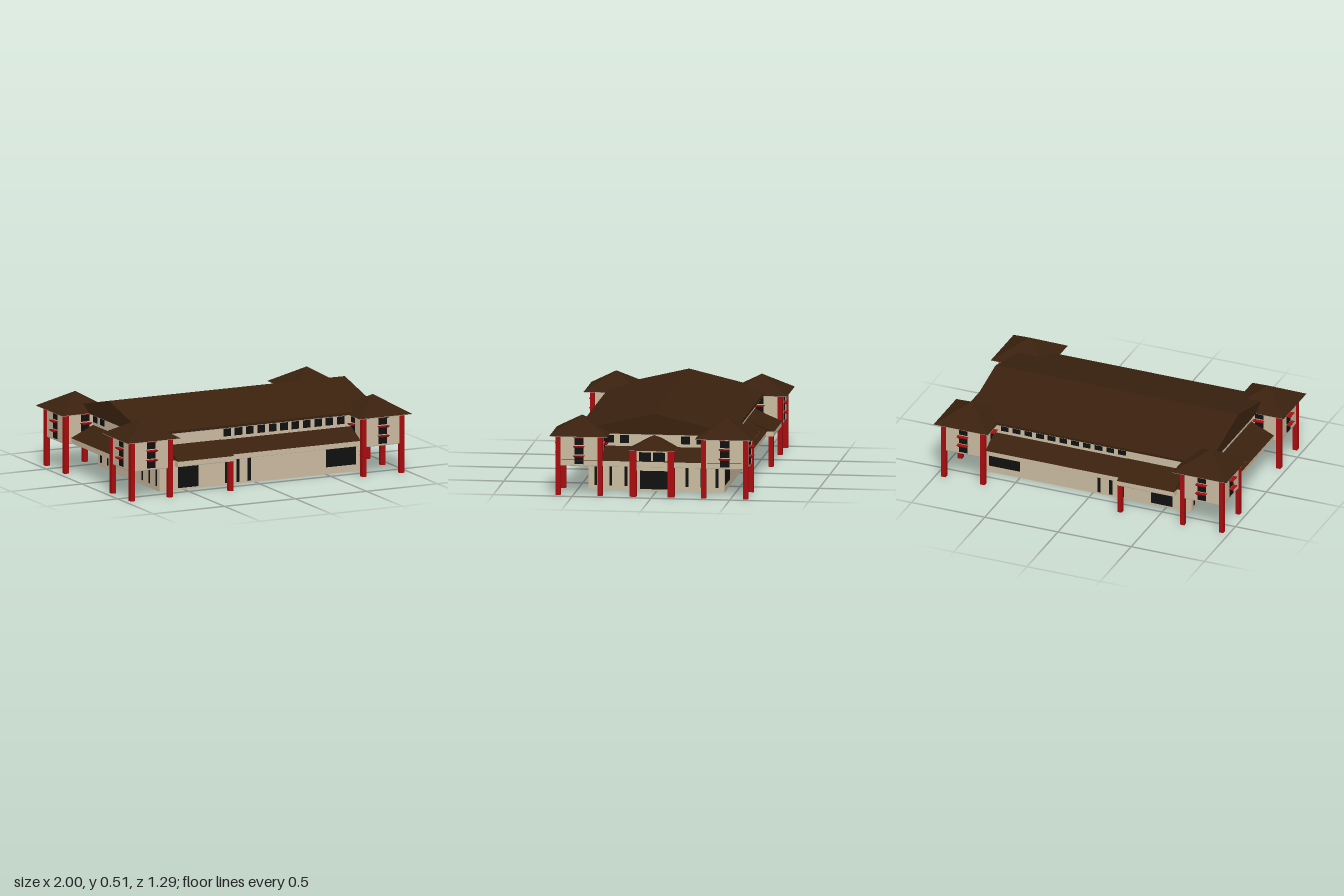
import * as THREE from 'three';

const mat = (color) => new THREE.MeshStandardMaterial({ color });

export function createModel() {
  const model = new THREE.Group();
  const beige = mat(0xcbbba0), red = mat(0xa80c0e), black = mat(0x101010);
  const brown = mat(0x3a210e), soffitGrey = mat(0xa5a196);

  const add = (name, geometry, material, parent = model) => {
    const m = new THREE.Mesh(geometry, material);
    m.name = name;
    parent.add(m);
    return m;
  };

  // Box given by its limits on each axis
  const box = (name, material, x0, x1, y0, y1, z0, z1, parent) => {
    const g = new THREE.BoxGeometry(x1 - x0, y1 - y0, z1 - z0);
    g.translate((x0 + x1) / 2, (y0 + y1) / 2, (z0 + z1) / 2);
    return add(name, g, material, parent);
  };

  // Tapered block between two rectangles [x0, x1, z0, z1]
  const taper = (name, material, low, high, y0, y1, parent) => {
    const g = new THREE.BoxGeometry(1, 1, 1);
    const p = g.attributes.position;
    for (let i = 0; i < p.count; i++) {
      const top = p.getY(i) > 0, r = top ? high : low;
      p.setXYZ(i, p.getX(i) < 0 ? r[0] : r[1], top ? y1 : y0, p.getZ(i) < 0 ? r[2] : r[3]);
    }
    g.computeVertexNormals();
    return add(name, g, material, parent);
  };

  // Thin panels on a wall facing along z or x
  const T = 0.003;
  const panelZ = (name, x, w, y0, y1, z) => box(name, black, x - w / 2, x + w / 2, y0, y1, z - T, z + T);
  const panelX = (name, z, w, y0, y1, x) => box(name, black, x - T, x + T, y0, y1, z - w / 2, z + w / 2);

  // Main hall: ground floor, upper slab and clerestory
  box('groundFloorWalls', beige, -0.67, 0.735, 0, 0.2, -0.432, 0.432);
  box('floorSlab', beige, -0.91, 0.955, 0.192, 0.225, -0.565, 0.565);
  box('slabSoffit', soffitGrey, -0.908, 0.953, 0.19, 0.193, -0.563, 0.563);
  box('clerestoryWalls', beige, -0.76, 0.8, 0.22, 0.385, -0.44, 0.44);
  taper('skirtRoof', brown, [-0.915, 0.96, -0.572, 0.572], [-0.76, 0.8, -0.44, 0.44], 0.225, 0.295);

  // Main gable roof, extruded along its ridge
  const gable = new THREE.Shape();
  gable.moveTo(-0.495, 0.381).lineTo(0.495, 0.381).lineTo(0.495, 0.397).lineTo(0, 0.515).lineTo(-0.495, 0.397);
  const roof = new THREE.ExtrudeGeometry(gable, { depth: 1.66, bevelEnabled: false });
  roof.rotateY(Math.PI / 2).translate(-0.81, 0, 0);
  add('mainRoof', roof, brown);
  box('mainRoofSoffit', soffitGrey, -0.808, 0.848, 0.378, 0.382, -0.494, 0.494);

  // Long sides, alike at front and back
  for (const s of [1, -1]) {
    const wall = s * 0.432;
    panelZ('sideDoor', -0.47, 0.145, 0.012, 0.19, wall);
    for (const x of [-0.2, -0.12, -0.04]) panelZ('slitWindow', x, 0.022, 0.012, 0.19, wall);
    panelZ('wideWindow', 0.605, 0.21, 0.045, 0.175, wall);
    for (let i = 0; i < 11; i++) panelZ('clerestoryWindow', -0.2 + i * 0.08, 0.052, 0.315, 0.364, s * 0.44);

    // Side porch with its column
    const za = s > 0 ? 0.43 : -0.61, zb = s > 0 ? 0.61 : -0.43;
    box('porchFascia', beige, -0.63, -0.243, 0.192, 0.225, za, zb);
    box('porchSoffit', soffitGrey, -0.628, -0.245, 0.189, 0.193, za, zb);
    const low = s > 0 ? [0.43, 0.617] : [-0.617, -0.43];
    const high = s > 0 ? [0.43, 0.441] : [-0.441, -0.43];
    taper('porchRoof', brown, [-0.63, -0.24, ...low], [-0.63, -0.24, ...high], 0.225, 0.297);
    box('porchColumn', red, -0.27, -0.24, 0, 0.192, s * 0.595 - 0.015, s * 0.595 + 0.015);
  }

  // End walls
  for (const [groundX, upperX] of [[0.735, 0.8], [-0.67, -0.76]])
    for (const s of [1, -1]) {
      for (const z of [0.385, 0.29, 0.193]) panelX('endSlitWindow', s * z, 0.018, 0.03, 0.19, groundX);
      for (const z of [0.29, 0.193]) panelX('endClerestoryWindow', s * z, 0.057, 0.315, 0.364, upperX);
    }

  // Main entrance on the +x end
  panelX('entranceDoor', 0, 0.205, 0.012, 0.163, 0.737);
  box('entranceBlock', beige, 0.78, 0.945, 0.165, 0.3, -0.13, 0.13);
  taper('entranceRoof', brown, [0.7, 0.965, -0.147, 0.147], [0.84, 0.85, 0, 0], 0.295, 0.376);
  box('entranceRoofSoffit', soffitGrey, 0.8, 0.963, 0.292, 0.296, -0.145, 0.145);
  box('entranceWindowFrame', beige, 0.94, 0.951, 0.217, 0.29, -0.094, 0.094);
  for (const s of [1, -1]) {
    panelX('entranceWindow', s * 0.045, 0.076, 0.225, 0.284, 0.951);
    box('entranceColumn', red, 0.92, 0.96, 0, 0.294, s * 0.12 - 0.021, s * 0.12 + 0.021);
  }

  // Corner tower, built around its own axis
  const buildTower = (sx, sz) => {
    const tower = new THREE.Group();
    tower.name = 'cornerTower';
    const h = 0.14;
    box('towerWalls', beige, -h, h, 0.192, 0.38, -h, h, tower);
    box('towerSoffit', soffitGrey, -h, h, 0.188, 0.193, -h, h, tower);
    taper('towerRoof', brown, [-0.185, 0.185, -0.183, 0.183], [0, 0, 0, 0], 0.382, 0.492, tower);
    box('towerEave', soffitGrey, -0.183, 0.183, 0.378, 0.383, -0.181, 0.181, tower);
    for (const cx of [1, -1])
      for (const cz of [1, -1]) {
        if (cx === -sx && cz === -sz) continue; // inner corner is buried in the hall
        const x = cx * 0.133, z = cz * 0.133;
        box('towerColumn', red, x - 0.015, x + 0.015, 0, 0.38, z - 0.015, z + 0.015, tower);
      }
    // Three stacked windows with small canopies on every side
    for (let i = 0; i < 4; i++) {
      const side = new THREE.Group();
      side.name = 'towerWindowColumn';
      side.rotation.y = (i * Math.PI) / 2;
      for (const y of [0.2, 0.261, 0.323]) {
        box('towerWindow', black, -0.029, 0.029, y, y + 0.047, h - T, h + T, side);
        taper('windowCanopy', red, [-0.027, 0.027, h, h + 0.022], [-0.037, 0.037, h, h + 0.028], y + 0.045, y + 0.055, side);
      }
      tower.add(side);
    }
    tower.position.set(sx * 0.815, 0, sz * 0.462);
    model.add(tower);
  };
  for (const sx of [1, -1]) for (const sz of [1, -1]) buildTower(sx, sz);

  return model;
}
